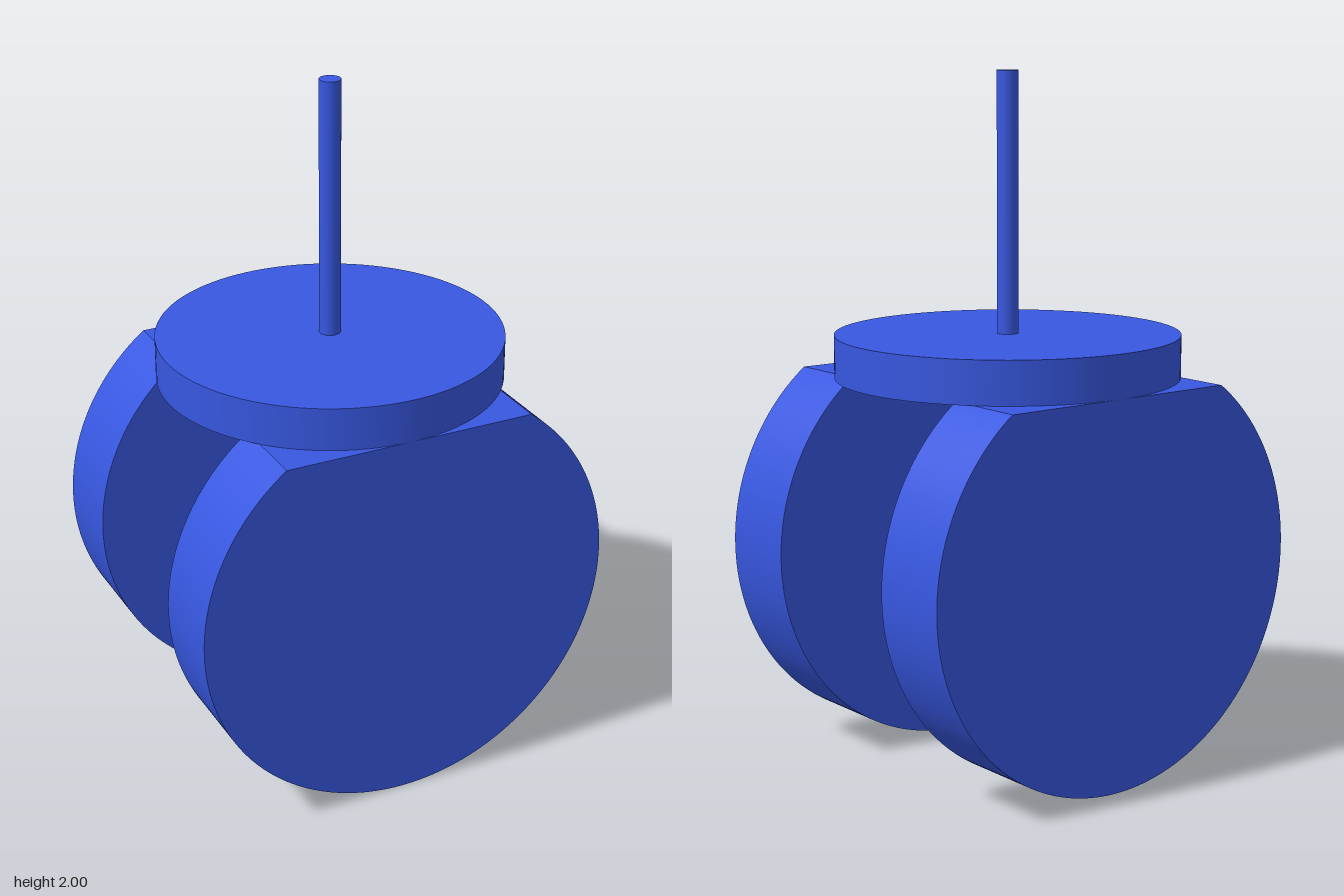
import * as THREE from 'three';

export function createModel() {
  const group = new THREE.Group();
  const material = new THREE.MeshStandardMaterial({ color: 0x3757e0 });

  const add = (name, geometry, y, z = 0) => {
    const mesh = new THREE.Mesh(geometry, material);
    mesh.name = name;
    mesh.position.set(0, y, z);
    group.add(mesh);
    return mesh;
  };

  const wheelRadius = 0.625, wheelWidth = 0.25, flatY = 0.5;

  // Wheels: discs with the top sliced flat under the plate
  const cut = Math.asin(flatY / wheelRadius);
  const outline = new THREE.Shape();
  outline.absarc(0, 0, wheelRadius, Math.PI - cut, Math.PI * 2 + cut, false);
  outline.closePath();
  const wheel = new THREE.ExtrudeGeometry(outline, {
    depth: wheelWidth, bevelEnabled: false, curveSegments: 80,
  });
  // Smooth the rim while keeping the flat and side faces sharp
  const pos = wheel.attributes.position, normal = wheel.attributes.normal;
  for (let i = 0; i < pos.count; i++) {
    const isCap = Math.abs(normal.getZ(i)) > 0.5;
    const isFlat = normal.getY(i) > 0.99;
    if (!isCap && !isFlat) {
      normal.setXYZ(i, pos.getX(i) / wheelRadius, pos.getY(i) / wheelRadius, 0);
    }
  }
  add('frontWheel', wheel, wheelRadius, 0.25);
  add('backWheel', wheel, wheelRadius, -0.5);

  // Axle joining the wheels
  const axle = new THREE.CylinderGeometry(0.0625, 0.0625, 0.5, 48);
  add('axle', axle, wheelRadius).rotation.x = Math.PI / 2;

  // Round mounting plate and its upright stem
  add('mountingPlate', new THREE.CylinderGeometry(0.5, 0.5, 0.125, 96), 1.1875);
  add('stem', new THREE.CylinderGeometry(0.031, 0.031, 0.75, 32), 1.625);

  return group;
}
